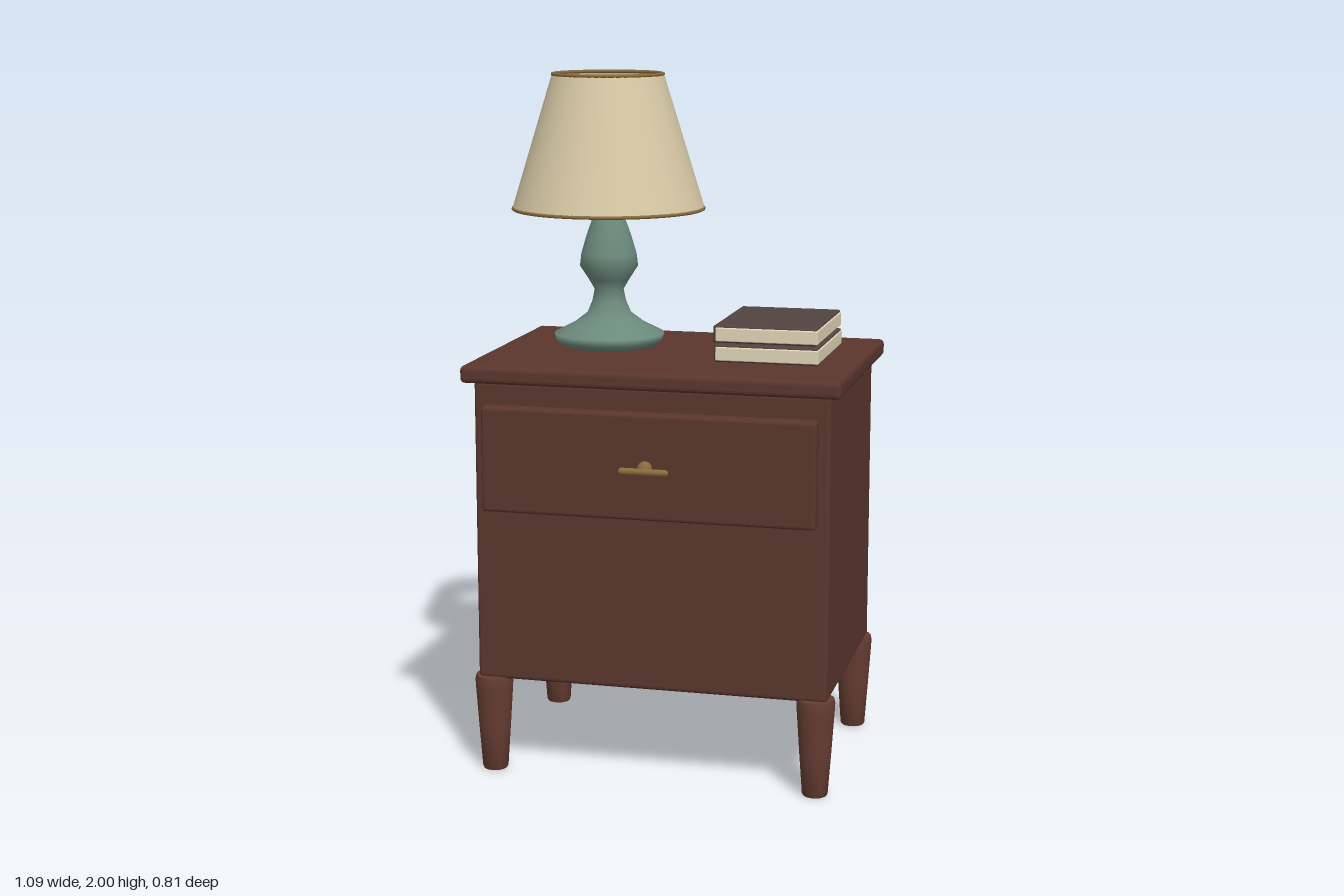
import * as THREE from 'three';
import { RoundedBoxGeometry } from 'three/addons/geometries/RoundedBoxGeometry.js';
import { toCreasedNormals } from 'three/addons/utils/BufferGeometryUtils.js';

function material(name, color, side = THREE.FrontSide) {
  const m = new THREE.MeshStandardMaterial({ color, side });
  m.name = name;
  return m;
}

export function createModel() {
  const wood = material('dark wood', 0x5a362d);
  const legWood = material('leg wood', 0x653c32);
  const brass = material('brass', 0x8a6b3c);
  const ceramic = material('green ceramic', 0x6b897d);
  const linen = material('cream linen', 0xd8caa6, THREE.DoubleSide);
  const cover = material('book cover', 0x504440);
  const paper = material('paper', 0xe0d6b6);
  const glass = material('bulb glass', 0xd8d5cd);

  const model = new THREE.Group();
  model.name = 'nightstand';

  function add(parent, name, geometry, mat, x = 0, y = 0, z = 0) {
    const mesh = new THREE.Mesh(geometry, mat);
    mesh.name = name;
    mesh.position.set(x, y, z);
    parent.add(mesh);
    return mesh;
  }

  // Box with bevelled edges, given by its extents
  function bevelBox(parent, name, mat, [x0, x1], [y0, y1], [z0, z1], bevel) {
    const g = new RoundedBoxGeometry(x1 - x0, y1 - y0, z1 - z0, 2, bevel);
    g.computeVertexNormals();
    return add(parent, name, g, mat, (x0 + x1) / 2, (y0 + y1) / 2, (z0 + z1) / 2);
  }

  function lathe(points, segments, crease) {
    const g = new THREE.LatheGeometry(points.map(([r, y]) => new THREE.Vector2(r, y)), segments);
    return crease ? toCreasedNormals(g, crease) : g;
  }

  // Cabinet
  const cabinet = new THREE.Group();
  cabinet.name = 'cabinet';
  model.add(cabinet);
  bevelBox(cabinet, 'body', wood, [-0.512, 0.512], [0.28, 1.155], [-0.375, 0.325], 0.012);
  bevelBox(cabinet, 'tabletop', wood, [-0.544, 0.544], [1.15, 1.2], [-0.406, 0.356], 0.014);
  bevelBox(cabinet, 'drawerFront', wood, [-0.48, 0.48], [0.785, 1.088], [0.31, 0.366], 0.01);

  // Drawer handle: a round stem carrying a crossbar
  const handle = new THREE.Group();
  handle.name = 'drawerHandle';
  cabinet.add(handle);
  add(handle, 'handleStem', new THREE.SphereGeometry(0.021, 16, 12), brass, 0, 0.937, 0.373);
  const bar = add(handle, 'handleBar', new THREE.CylinderGeometry(0.01, 0.01, 0.13, 12), brass, 0, 0.931, 0.391);
  bar.rotation.z = Math.PI / 2;
  for (const s of [-1, 1]) {
    add(handle, 'handleTip', new THREE.SphereGeometry(0.009, 12, 8), brass, s * 0.063, 0.931, 0.391);
  }

  // Tapered turned legs
  const legGeometry = lathe([[0, 0], [0.034, 0], [0.037, 0.006], [0.046, 0.13], [0.054, 0.25],
    [0.055, 0.27], [0.052, 0.285], [0, 0.285]], 20, 0.7);
  for (const x of [-0.475, 0.475]) {
    for (const z of [-0.343, 0.293]) {
      add(model, z > 0 ? 'frontLeg' : 'backLeg', legGeometry, legWood, x, 0, z);
    }
  }

  // Two stacked books, page edges showing on the front and left
  const books = new THREE.Group();
  books.name = 'books';
  model.add(books);
  for (const [y, d] of [[1.2, 0.003], [1.255, 0]]) {
    bevelBox(books, 'bookCover', cover, [0.134 + d, 0.432 + d], [y, y + 0.05], [-0.267, 0.117 + d], 0.006);
    bevelBox(books, 'bookPages', paper, [0.142, 0.436 + d], [y + 0.005, y + 0.044], [-0.258, 0.123 + d], 0.003);
  }

  // Table lamp
  const lamp = new THREE.Group();
  lamp.name = 'lamp';
  lamp.position.set(-0.236, 1.2, -0.115);
  model.add(lamp);
  add(lamp, 'lampBase', lathe([[0, 0], [0.14, 0], [0.158, 0.015], [0.163, 0.035], [0.105, 0.065],
    [0.065, 0.095], [0.05, 0.13], [0.043, 0.165], [0.06, 0.195], [0.086, 0.235], [0.082, 0.27],
    [0.066, 0.325], [0.046, 0.38], [0.03, 0.41], [0, 0.41]], 32), ceramic);
  add(lamp, 'bulbSocket', new THREE.CylinderGeometry(0.028, 0.03, 0.08, 20), brass, 0, 0.445, 0);
  add(lamp, 'bulb', lathe([[0.024, -0.07], [0.032, -0.053], [0.051, -0.032], [0.061, 0],
    [0.053, 0.031], [0.031, 0.053], [0, 0.061]], 24), glass, 0, 0.54, 0);

  // Finely pleated shade
  const shadeGeometry = new THREE.CylinderGeometry(0.161, 0.281, 0.394, 192, 1, true);
  const p = shadeGeometry.attributes.position;
  for (let i = 0; i < p.count; i++) {
    const angle = Math.atan2(p.getZ(i), p.getX(i));
    const k = 1 + 0.007 * Math.cos(48 * angle);
    p.setX(i, p.getX(i) * k);
    p.setZ(i, p.getZ(i) * k);
  }
  add(lamp, 'shade', shadeGeometry, linen, 0, 0.601, 0);

  // Trim around both shade rims
  for (const [name, r, y] of [['shadeTopTrim', 0.161, 0.795], ['shadeBottomTrim', 0.28, 0.405]]) {
    const ring = add(lamp, name, new THREE.TorusGeometry(r, 0.005, 8, 64), brass, 0, y, 0);
    ring.rotation.x = Math.PI / 2;
  }

  return model;
}
